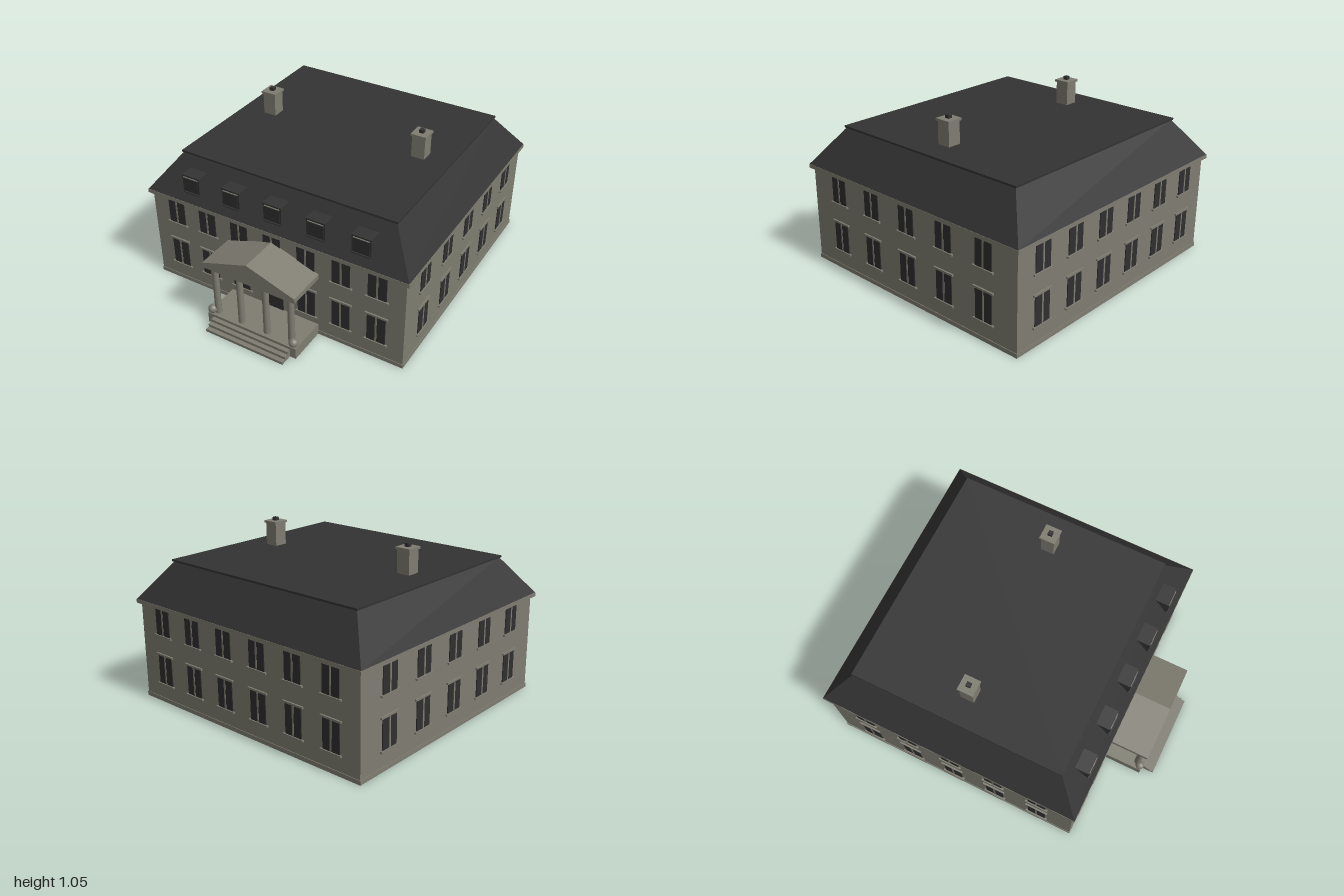
import * as THREE from 'three';

const stone = new THREE.MeshStandardMaterial({ name: 'stone', color: 0x7f7d71 });
const slate = new THREE.MeshStandardMaterial({ name: 'slate', color: 0x333333 });
const glass = new THREE.MeshStandardMaterial({ name: 'dark glass', color: 0x2f2f2f });

const CZ = -0.1525;            // centre of the house in z
const HX = 0.87, HZ = 0.8235;  // half sizes of the walls

function add(parent, name, geometry, material, x = 0, y = 0, z = 0) {
  const mesh = new THREE.Mesh(geometry, material);
  mesh.name = name;
  mesh.position.set(x, y, z);
  parent.add(mesh);
  return mesh;
}

// Box given by its size, the height of its underside and its centre
function box(parent, name, material, w, h, d, x, y, z) {
  return add(parent, name, new THREE.BoxGeometry(w, h, d), material, x, y + h / 2, z);
}

// Two dark panes either side of a mullion, with a sill and an optional lintel
function makeWindow(bottom, top, lintel) {
  const g = new THREE.Group();
  g.name = 'window';
  const h = top - bottom;
  for (const s of [-1, 1]) box(g, 'pane', glass, 0.053, h, 0.006, s * 0.0325, bottom, 0.002);
  box(g, 'mullion', stone, 0.012, h, 0.008, 0, bottom, 0.003);
  box(g, 'sill', stone, 0.148, 0.011, 0.016, 0, bottom - 0.011, 0.004);
  if (lintel) box(g, 'lintel', stone, 0.148, 0.012, 0.014, 0, top, 0.003);
  return g;
}

// One facade with two rows of windows, facing +z before it is turned
function makeFacade(name, count, pitch, hasDoor) {
  const g = new THREE.Group();
  g.name = name;
  for (let i = 0; i < count; i++) {
    const x = (i - (count - 1) / 2) * pitch;
    const upper = makeWindow(0.44, 0.608, false);
    upper.position.x = x;
    g.add(upper);
    if (hasDoor && i === (count - 1) / 2) continue;
    const lower = makeWindow(0.125, 0.307, true);
    lower.position.x = x;
    g.add(lower);
  }
  if (hasDoor) {
    box(g, 'door', glass, 0.136, 0.25, 0.008, 0, 0.072, 0.002);
    box(g, 'doorLintel', stone, 0.16, 0.012, 0.014, 0, 0.322, 0.003);
  }
  return g;
}

function makeRoof() {
  const g = new THREE.Group();
  g.name = 'roof';
  // Sloping hipped sides: a box whose top corners are drawn in
  const hip = new THREE.BoxGeometry(1.78, 0.232, 1.686);
  const p = hip.attributes.position;
  for (let i = 0; i < p.count; i++) {
    if (p.getY(i) > 0) {
      p.setX(i, Math.sign(p.getX(i)) * 0.72);
      p.setZ(i, Math.sign(p.getZ(i)) * 0.673);
    }
  }
  hip.computeVertexNormals();
  add(g, 'slopes', hip, slate, 0, 0.636 + 0.116, CZ);
  box(g, 'flatTop', slate, 1.46, 0.012, 1.366, 0, 0.867, CZ);

  // Dormers along the front slope
  for (let i = -2; i <= 2; i++) {
    const d = new THREE.Group();
    d.name = 'dormer';
    d.position.x = i * 0.289;
    box(d, 'body', slate, 0.122, 0.114, 0.11, 0, 0.684, 0.598);
    box(d, 'top', slate, 0.126, 0.006, 0.112, 0, 0.797, 0.599);
    box(d, 'windowPane', glass, 0.1, 0.09, 0.005, 0, 0.695, 0.654);
    box(d, 'windowHead', stone, 0.104, 0.004, 0.008, 0, 0.787, 0.655);
    box(d, 'windowSill', slate, 0.12, 0.006, 0.012, 0, 0.684, 0.656);
    g.add(d);
  }

  // Chimneys
  for (const s of [-1, 1]) {
    const c = new THREE.Group();
    c.name = 'chimney';
    c.position.set(s * 0.528, 0, -0.155);
    box(c, 'stack', stone, 0.086, 0.15, 0.086, 0, 0.872, 0);
    box(c, 'cap', stone, 0.102, 0.014, 0.102, 0, 1.02, 0);
    box(c, 'pot', slate, 0.028, 0.022, 0.028, 0, 1.033, 0);
    g.add(c);
  }
  return g;
}

function makePortico() {
  const g = new THREE.Group();
  g.name = 'portico';
  box(g, 'platform', stone, 0.624, 0.072, 0.265, 0, 0, 0.7875);
  // Three steps down to the front
  for (let i = 0; i < 3; i++) {
    const front = 1 - i * 0.027;
    box(g, 'step', stone, 0.544, 0.018 * (i + 1), front - 0.9, 0, 0, (front + 0.9) / 2);
  }
  for (const s of [-1, 1]) {
    for (const x of [0.09, 0.262]) {
      add(g, 'column', new THREE.CylinderGeometry(0.0195, 0.021, 0.352, 20), stone, s * x, 0.246, 0.88);
    }
    add(g, 'stoneBall', new THREE.SphereGeometry(0.028, 20, 14), stone, s * 0.287, 0.1, 0.903);
  }
  // Gabled block over the columns
  const gable = new THREE.Shape([[-0.317, 0.42], [0.317, 0.42], [0.317, 0.452], [0, 0.558], [-0.317, 0.452]]
    .map(([x, y]) => new THREE.Vector2(x, y)));
  add(g, 'pediment', new THREE.ExtrudeGeometry(gable, { depth: 0.265, bevelEnabled: false }), stone, 0, 0, 0.66);
  return g;
}

export function createModel() {
  const model = new THREE.Group();
  model.name = 'manorHouse';

  box(model, 'walls', stone, HX * 2, 0.62, HZ * 2, 0, 0, CZ);
  box(model, 'plinth', stone, HX * 2 + 0.008, 0.026, HZ * 2 + 0.008, 0, 0, CZ);
  box(model, 'eaves', stone, 1.784, 0.025, 1.69, 0, 0.611, CZ);

  const front = makeFacade('frontFacade', 7, 0.2315, true);
  front.position.set(0, 0, CZ + HZ);
  const back = makeFacade('backFacade', 6, 0.27, false);
  back.position.set(0, 0, CZ - HZ);
  back.rotation.y = Math.PI;
  model.add(front, back);
  for (const s of [-1, 1]) {
    const side = makeFacade(s > 0 ? 'leftFacade' : 'rightFacade', 5, 0.295, false);
    side.position.set(s * HX, 0, CZ);
    side.rotation.y = s * Math.PI / 2;
    model.add(side);
  }

  model.add(makeRoof(), makePortico());
  return model;
}
